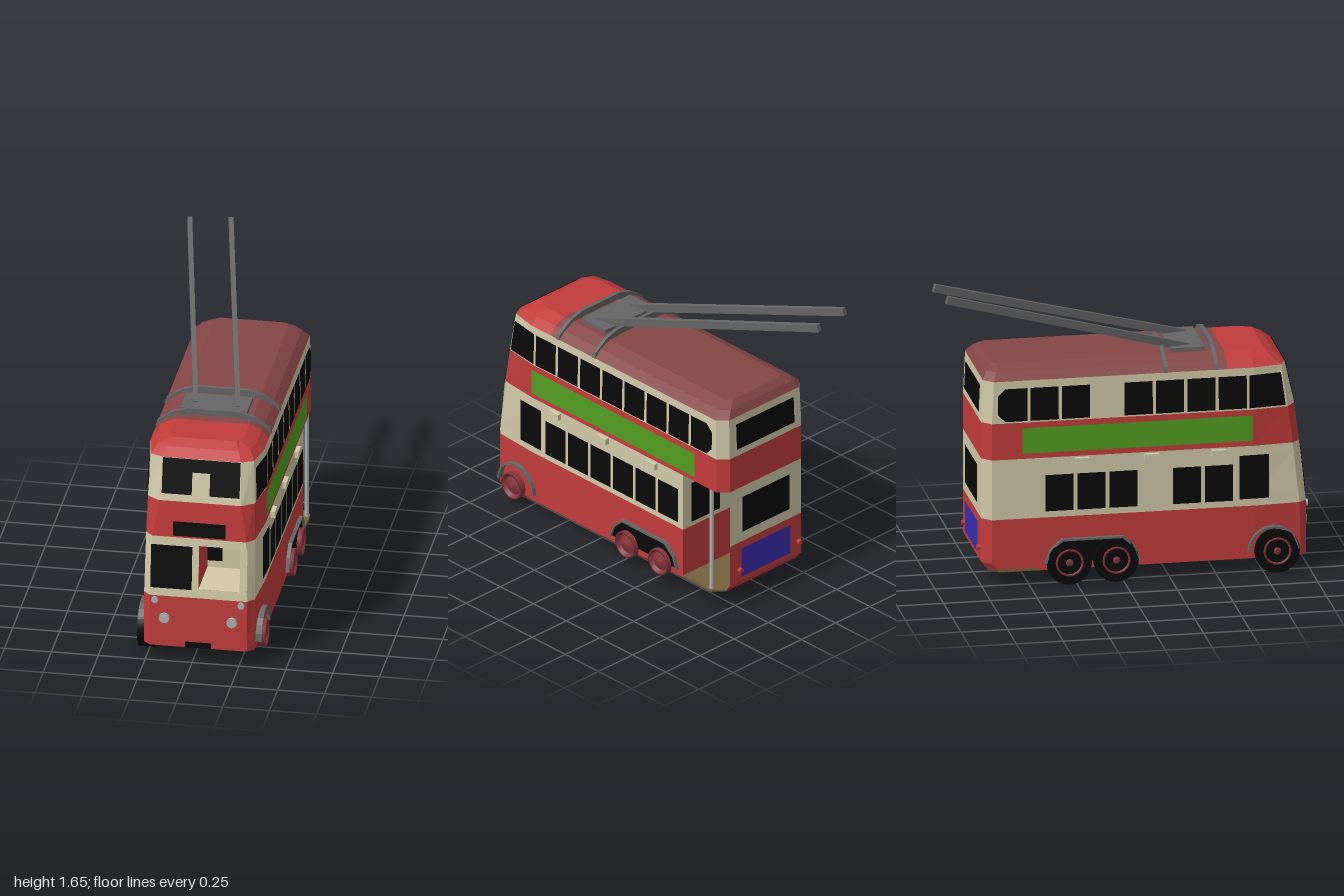
import * as THREE from 'three';

const material = (name, color) => {
  const m = new THREE.MeshStandardMaterial({ color, side: THREE.DoubleSide });
  m.name = name;
  return m;
};

export function createModel() {
  const red = material('red', 0xc23c3c), cream = material('cream', 0xd2c9a8);
  const roofRed = material('roofRed', 0x854646), black = material('black', 0x0a0a0a);
  const grey = material('grey', 0x666666), silver = material('silver', 0xb0b0b0);
  const green = material('green', 0x539e22), blue = material('blue', 0x3c2eb0);
  const hubRed = material('hubRed', 0x86343a), olive = material('olive', 0x75603c);

  const CX = 0.03; // centre line of the body
  const model = new THREE.Group();
  const add = (name, geo, mat, x = 0, y = 0, z = 0) => {
    const m = new THREE.Mesh(geo, mat);
    m.name = name;
    m.position.set(x, y, z);
    model.add(m);
    return m;
  };
  const box = (name, mat, x0, x1, y0, y1, z0, z1) => add(name,
    new THREE.BoxGeometry(x1 - x0, y1 - y0, z1 - z0), mat, (x0 + x1) / 2, (y0 + y1) / 2, (z0 + z1) / 2);
  // flat shaded mesh from a list of convex polygons
  const polys = (name, mat, list) => {
    const pos = [];
    for (const p of list)
      for (let i = 1; i < p.length - 1; i++) pos.push(...p[0], ...p[i], ...p[i + 1]);
    const g = new THREE.BufferGeometry();
    g.setAttribute('position', new THREE.Float32BufferAttribute(pos, 3));
    g.computeVertexNormals();
    return add(name, g, mat);
  };

  // Body sections: y, front z, front half width, corner half width, corner z, half width, rear z, rear chamfer
  const rows = [
    [0.08, 0.985, 0.26, 0.295, 0.95, 0.31, -0.71, 0.05],
    [0.13, 0.985, 0.26, 0.295, 0.95, 0.31, -0.75, 0.05],
    [0.37, 0.985, 0.26, 0.295, 0.945, 0.31, -0.75, 0.05],
    [0.70, 0.95, 0.25, 0.29, 0.91, 0.31, -0.75, 0.05],
    [0.90, 0.93, 0.22, 0.285, 0.885, 0.31, -0.75, 0.05],
    [1.13, 0.88, 0.21, 0.275, 0.85, 0.305, -0.74, 0.05],
    [1.17, 0.83, 0.19, 0.245, 0.80, 0.265, -0.715, 0.045],
    [1.20, 0.775, 0.17, 0.18, 0.755, 0.20, -0.68, 0.03],
  ];
  const section = (y) => {
    let k = 0;
    while (k < rows.length - 2 && y > rows[k + 1][0]) k++;
    const t = (y - rows[k][0]) / (rows[k + 1][0] - rows[k][0]);
    return rows[k].map((v, i) => v + (rows[k + 1][i] - v) * t);
  };
  const ring = (y, s) => {
    const [, zf, wf, wc, zc, w, zr, c] = section(y);
    return [[wf, zf], [wc, zc], [w, 0.7], [w, 0.56], [w, -0.45], [w, zr + c], [w - c, zr]]
      .map(([x, z]) => [CX + s * x, y, z]);
  };
  // Segments: -1 front, 0..5 sides from front to rear, 6 rear
  const band = (name, mat, ys, keep = () => true, caps = []) => {
    const list = [];
    for (let k = 0; k < ys.length - 1; k++) {
      const [l0, l1, r0, r1] = [ring(ys[k], 1), ring(ys[k + 1], 1), ring(ys[k], -1), ring(ys[k + 1], -1)];
      for (let i = 0; i < 6; i++) {
        if (keep(i, 1)) list.push([l0[i], l0[i + 1], l1[i + 1], l1[i]]);
        if (keep(i, -1)) list.push([r0[i + 1], r0[i], r1[i], r1[i + 1]]);
      }
      if (keep(-1)) list.push([r0[0], l0[0], l1[0], r1[0]]);
      if (keep(6)) list.push([l0[6], r0[6], r1[6], l1[6]]);
    }
    for (const y of caps) {
      const l = ring(y, 1), r = ring(y, -1);
      for (let i = 0; i < 6; i++) if (keep(i)) list.push([r[i], l[i], l[i + 1], r[i + 1]]);
    }
    return polys(name, mat, list);
  };

  const doorway = (i, s) => !(s === 1 && i >= 4);
  band('lowerPanels', red, [0.08, 0.13, 0.37], doorway);
  band('underside', red, [], (i) => i < 4, [0.08]);
  band('waistBelowWindscreen', cream, [0.37, 0.42], doorway);
  band('lowerDeck', cream, [0.42, 0.66], (i, s) => i !== -1 && doorway(i, s));
  band('waistAboveWindscreen', cream, [0.66, 0.7], doorway);
  band('middlePanels', red, [0.7, 0.9]);
  band('platformCeiling', red, [], (i) => i >= 4, [0.7]);
  band('upperDeck', cream, [0.9, 1.13]);
  band('frontRoof', red, [1.13, 1.17, 1.2], (i) => i < 3, [1.2]);
  band('mainRoof', roofRed, [1.13, 1.17, 1.2], (i) => i >= 3, [1.2]);

  // Plates on the front, rear and sides
  const onFront = (name, mat, x0, x1, y0, y1, off = 0.005) => polys(name, mat,
    [[[x0, y0], [x1, y0], [x1, y1], [x0, y1]].map(([x, y]) => [x, y, section(y)[1] + off])]);
  const onRear = (name, mat, x0, x1, y0, y1) => polys(name, mat,
    [[[x1, y0], [x0, y0], [x0, y1], [x1, y1]].map(([x, y]) => [x, y, section(y)[6] - 0.005])]);
  const onSide = (name, mat, s, pts) => polys(name, mat, [pts.map(([z, y]) => {
    const [, , , wc, zc, w] = section(y);
    const t = Math.max(0, (z - 0.7) / (zc - 0.7));
    return [CX + s * (w + (wc - w) * t + 0.006), y, z];
  })]);
  const rect = (z0, z1, y0, y1) => [[z0, y0], [z1, y0], [z1, y1], [z0, y1]];

  // Front, with an open nearside cab window
  onFront('cabFrontPanel', cream, CX - 0.26, 0.03, 0.42, 0.66, 0);
  onFront('cabFrontPillar', cream, 0.25, CX + 0.258, 0.42, 0.66, 0);
  onFront('windscreen', black, -0.225, -0.005, 0.415, 0.655);
  polys('cabPartition', red, [0.03, 0.25].map((x) =>
    [[x, 0.42, 0.975], [x, 0.42, 0.7], [x, 0.66, 0.7], [x, 0.66, 0.952]]));
  polys('cabRecess', cream, [
    [[0.03, 0.42, 0.7], [0.25, 0.42, 0.7], [0.25, 0.66, 0.7], [0.03, 0.66, 0.7]],
    ...[[0.42, 0.979], [0.66, 0.954]].map(([y, z]) => [[0.03, y, z], [0.25, y, z], [0.25, y, 0.7], [0.03, y, 0.7]]),
  ]);
  box('cabRearWindow', black, 0.032, 0.11, 0.46, 0.65, 0.7, 0.706);
  onFront('upperWindscreenRight', black, -0.175, -0.015, 0.94, 1.13);
  onFront('upperWindscreenLeft', black, 0.08, 0.24, 0.94, 1.13);
  onFront('upperWindscreenTop', black, -0.015, 0.08, 1.06, 1.13);
  onFront('destinationBlind', black, -0.11, 0.17, 0.71, 0.79);
  onFront('numberPlate', black, -0.04, 0.1, 0.082, 0.115);
  for (const s of [1, -1])
    for (const [x, y, r] of [[0.18, 0.245, 0.028], [0.23, 0.347, 0.018]])
      add('headlight', new THREE.CylinderGeometry(r, r, 0.02, 12), silver, CX + s * x, y, 0.99).rotation.x = Math.PI / 2;

  // Rear
  onRear('upperRearWindow', black, -0.18, 0.24, 0.94, 1.09);
  onRear('lowerRearWindow', black, -0.14, 0.2, 0.43, 0.64);
  onRear('rearPanel', blue, -0.15, 0.21, 0.16, 0.33);
  for (const x of [-0.21, 0.22])
    add('rearLight', new THREE.CylinderGeometry(0.014, 0.014, 0.025, 10), red, x, 0.205, -0.758).rotation.x = Math.PI / 2;

  // Open rear platform
  polys('bulkheadLower', red, [[[-0.28, 0.08, -0.45], [0.34, 0.08, -0.45], [0.34, 0.37, -0.45], [-0.28, 0.37, -0.45]]]);
  polys('bulkheadUpper', cream, [[[-0.28, 0.37, -0.45], [0.34, 0.37, -0.45], [0.34, 0.7, -0.45], [-0.28, 0.7, -0.45]]]);
  box('bulkheadWindow', black, 0.08, 0.28, 0.4, 0.63, -0.458, -0.451);
  band('platform', olive, [0.08, 0.095], (i) => i >= 4, [0.075 + 0.005, 0.095]);
  add('platformPole', new THREE.CylinderGeometry(0.012, 0.012, 0.61, 10), silver, 0.325, 0.395, -0.65);

  // Sides
  for (const s of [1, -1]) {
    for (let i = 0; i < 9; i++) {
      if (s === -1 && i === 5) continue;
      const z = 0.66 - (i - 1) * 0.1675;
      let pts = rect(z, z - 0.15, 0.91, 1.09);
      if (i === 0) pts = [[0.872, 0.91], [0.675, 0.91], [0.675, 1.09], [0.848, 1.09]];
      if (i === 8) pts = [[z, 0.91], [-0.63, 0.91], [-0.67, 0.95], [-0.67, 1.05], [-0.63, 1.09], [z, 1.09]];
      onSide('upperSideWindow', black, s, pts);
    }
    onSide('cabSideWindow', black, s, rect(0.78, 0.62, 0.41, 0.65));
    for (let i = 0; i < 6; i++) {
      if (s === -1 && i === 2) continue;
      const z = 0.585 - i * 0.17;
      onSide('lowerSideWindow', black, s, rect(z, z - 0.15, 0.405, 0.605));
    }
    onSide('advertPanel', green, s, rect(0.69, -0.54, 0.73, 0.87));
    for (const z of [0.51, 0.15, -0.22])
      add('sideVent', new THREE.BoxGeometry(0.03, 0.035, 0.075), cream, CX + s * 0.318, 0.675, z);
  }

  // Wheels and mudguards
  const outline = (pts) => new THREE.Shape(pts.map(([z, y]) => new THREE.Vector2(z, y)));
  const arc = (r, a) => [Math.cos(a) * r + 0.8, Math.sin(a) * r + 0.12];
  const steps = [...Array(11).keys()].map((i) => i * Math.PI / 10);
  const frontArch = outline([...steps.map((a) => arc(0.137, a)), ...steps.map((a) => arc(0.125, a)).reverse()]);
  const rearEdge = [[0.09, 0.12], [0.065, 0.19], [0, 0.25], [-0.33, 0.25], [-0.395, 0.19], [-0.42, 0.12]];
  const rearArch = outline([...rearEdge, ...rearEdge.map(([z, y]) => [-0.165 + (z + 0.165) * 0.96, 0.12 + (y - 0.12) * 0.92]).reverse()]);
  const hub = new THREE.LatheGeometry([[0, 0.035], [0.018, 0.035], [0.022, 0.025], [0.042, 0.025], [0.046, 0.015],
    [0.06, 0.015], [0.064, 0.035], [0.075, 0.035], [0.075, -0.02]].map(([x, y]) => new THREE.Vector2(x, y)).reverse(), 20);
  for (const s of [1, -1]) {
    for (const arch of [frontArch, rearArch]) {
      const g = new THREE.ExtrudeGeometry(arch, { depth: 0.04, bevelEnabled: false }).rotateY(-Math.PI / 2);
      add('mudguard', g, grey, CX + (s > 0 ? 0.33 : -0.295));
    }
    onSide('rearWheelArch', black, s, rearEdge);
    for (const z of [0.82, -0.04, -0.29]) {
      add('wheelHub', hub, hubRed, CX + s * 0.305, 0.12, z).rotation.z = -s * Math.PI / 2;
      if (s < 0)
        add('tyre', new THREE.CylinderGeometry(0.12, 0.12, 0.085, 24), black, CX - 0.2925, 0.12, z).rotation.z = Math.PI / 2;
    }
  }

  // Roof gantry and trolley poles
  const outer = [[0.31, 1.13], [0.30, 1.16], [0.22, 1.215], [0.14, 1.24]];
  const inner = [[0.285, 1.13], [0.275, 1.145], [0.21, 1.18], [0.13, 1.205]];
  const flip = (pts) => pts.map(([x, y]) => [-x, y]).reverse();
  const hoop = new THREE.ExtrudeGeometry(
    outline([...outer, ...flip(outer), ...flip(inner).reverse(), ...inner.slice().reverse()]),
    { depth: 0.02, bevelEnabled: false });
  for (const z of [0.49, 0.22]) add('roofHoop', hoop, grey, CX, 0, z);
  box('gantryBase', grey, -0.155, 0.2, 1.195, 1.222, 0.28, 0.46);
  for (const [x0, z0, x1, z1] of [[-0.088, 0.38, -0.352, -0.955], [0.142, 0.405, -0.137, -0.985]]) {
    const a = new THREE.Vector3(x0, 1.205, z0), b = new THREE.Vector3(x1, 1.625, z1);
    const pole = add('trolleyPole', new THREE.BoxGeometry(0.026, 0.042, a.distanceTo(b)), grey);
    pole.position.copy(a).add(b).multiplyScalar(0.5);
    pole.lookAt(b);
  }
  return model;
}
